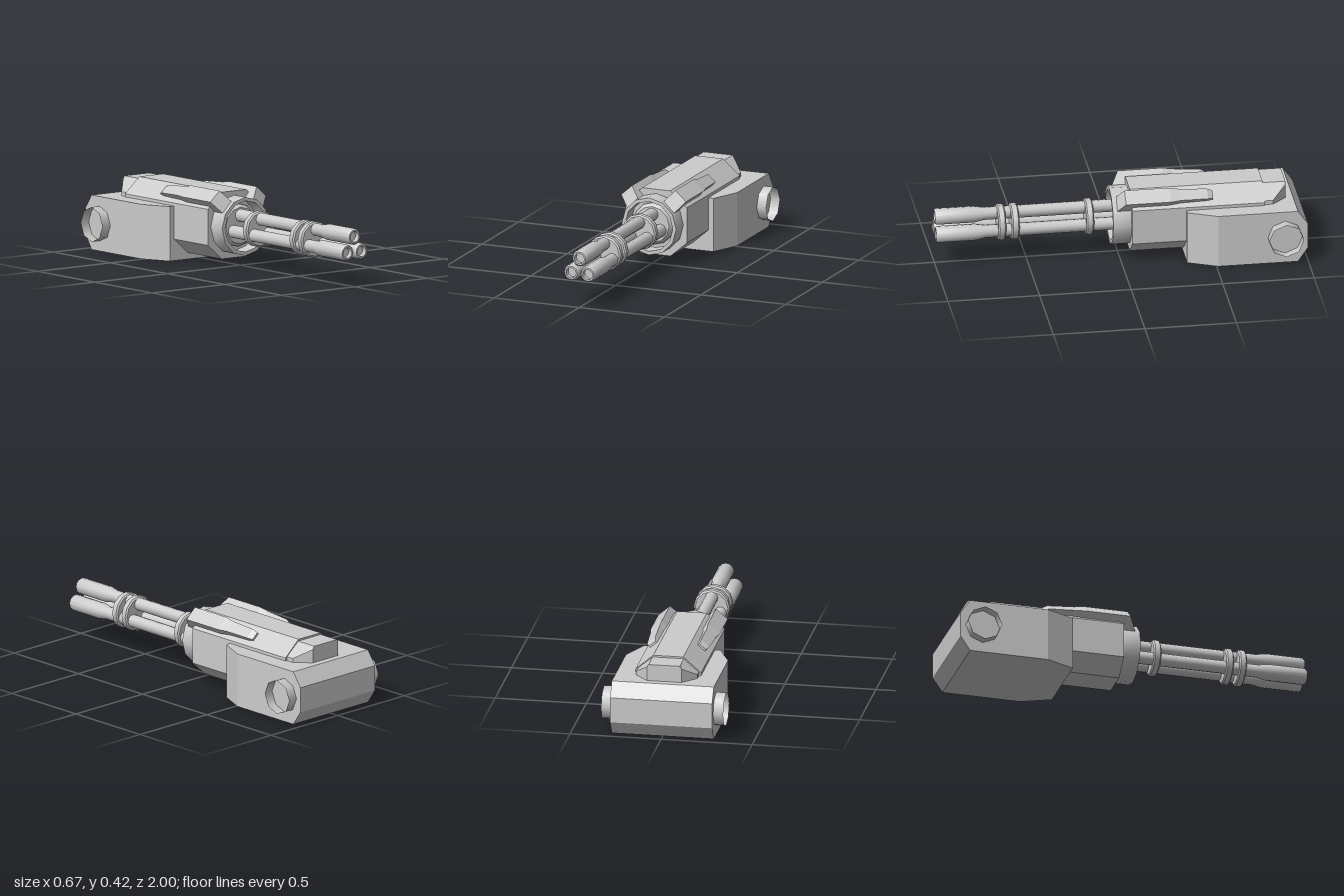
import * as THREE from 'three';
import { toCreasedNormals } from 'three/addons/utils/BufferGeometryUtils.js';

const AXIS_Y = 0.217; // height of the barrel axis
const grey = new THREE.MeshStandardMaterial({ color: 0xcccccc });
const greyFlat = new THREE.MeshStandardMaterial({ color: 0xcccccc, flatShading: true });
const greyOpen = new THREE.MeshStandardMaterial({ color: 0xcccccc, side: THREE.DoubleSide });

// Solid through cross-sections { z, pts }, front to back, pts counter-clockwise seen from the front
function loft(sections) {
  const pos = [];
  const put = (s, j) => pos.push(...s.pts[j % s.pts.length], s.z);
  const n = sections[0].pts.length;
  for (let i = 0; i < sections.length - 1; i++) {
    const f = sections[i], b = sections[i + 1];
    for (let j = 0; j < n; j++) {
      put(f, j); put(b, j); put(b, j + 1);
      put(f, j); put(b, j + 1); put(f, j + 1);
    }
  }
  const first = sections[0], last = sections[sections.length - 1];
  for (let j = 1; j < n - 1; j++) {
    put(first, 0); put(first, j); put(first, j + 1);
    put(last, 0); put(last, j + 1); put(last, j);
  }
  const geo = new THREE.BufferGeometry();
  geo.setAttribute('position', new THREE.Float32BufferAttribute(pos, 3));
  geo.computeVertexNormals();
  return geo;
}

// Turned part along z from [radius, z] points
function turned(profile, sides) {
  const geo = new THREE.LatheGeometry(profile.map(([r, z]) => new THREE.Vector2(r, z)), sides);
  geo.rotateX(Math.PI / 2);
  return toCreasedNormals(geo, 0.65);
}

const rect = (w, y0, y1) => [[-w, y0], [w, y0], [w, y1], [-w, y1]];

// Adds the left half of a symmetric outline, given its right half from bottom to top
const symmetric = (half) => [...half, ...half.map(([x, y]) => [-x, y]).reverse()];

export function createModel() {
  const model = new THREE.Group();
  model.name = 'rotaryGun';
  const add = (name, geo, mat, x = 0, y = 0, z = 0) => {
    const mesh = new THREE.Mesh(geo, mat);
    mesh.name = name;
    mesh.position.set(x, y, z);
    model.add(mesh);
    return mesh;
  };

  // Rear mount block, chamfered at the back and tapered at the front
  add('mountBlock', loft([
    { z: -0.35, pts: rect(0.21, 0, 0.298) },
    { z: -0.51, pts: rect(0.28, 0, 0.298) },
    { z: -0.945, pts: rect(0.28, 0, 0.298) },
    { z: -1, pts: rect(0.28, 0.08, 0.22) },
  ]), greyFlat);

  // Octagonal gun housing
  const housing = symmetric([[0.085, 0.035], [0.18, 0.118], [0.18, 0.315], [0.082, 0.4]]);
  add('housing', loft([{ z: -0.055, pts: housing }, { z: -0.78, pts: housing }]), greyFlat);

  // Tail cover behind the housing
  const cover = symmetric([[0.168, 0.28], [0.168, 0.32], [0.085, 0.39]]);
  add('tailCover', loft([
    { z: -0.77, pts: cover },
    { z: -0.825, pts: cover },
    { z: -0.905, pts: symmetric([[0.095, 0.28], [0.095, 0.375], [0.085, 0.39]]) },
  ]), greyFlat);

  for (const side of [-1, 1]) {
    // Open pivot tube
    const tube = new THREE.CylinderGeometry(0.095, 0.095, 0.07, 8, 1, true);
    tube.rotateZ(Math.PI / 2);
    add(side > 0 ? 'leftPivot' : 'rightPivot', tube, greyOpen, side * 0.3, 0.15, -0.875);

    // Fin lying on the upper chamfer: w is the half width along it, lo and hi the height above it
    const finSection = (z, w, lo, hi) => {
      const pts = [[-w, lo], [-w, hi], [w, hi], [w, lo]].map(([t, h]) =>
        [side * (0.1325 + 0.75 * t + 0.66 * h), 0.3575 - 0.66 * t + 0.75 * h]);
      return { z, pts: side > 0 ? pts.reverse() : pts };
    };
    add(side > 0 ? 'leftFin' : 'rightFin', loft([
      finSection(0.02, 0.0425, -0.045, -0.04),
      finSection(-0.02, 0.0425, -0.045, 0.04),
      finSection(-0.265, 0.0425, -0.045, 0.04),
      finSection(-0.32, 0.034, -0.03, 0.034),
      finSection(-0.47, 0.03, -0.02, 0.024),
      finSection(-0.5, 0.024, -0.02, 0.01),
    ]), greyFlat);
  }

  // Hollow collar and the hub inside it
  add('collar', turned([
    [0.16, -0.06], [0.16, 0.045], [0.14, 0.045], [0.14, -0.04], [0, -0.04],
  ], 12), grey, 0, AXIS_Y);
  add('hub', turned([[0.117, -0.05], [0.117, -0.02], [0.1, 0], [0, 0]], 12), grey, 0, AXIS_Y);

  // Clamp discs around the barrels
  for (const z of [0.16, 0.567, 0.64]) {
    add('barrelClamp', turned([
      [0, -0.021], [0.09, -0.021], [0.099, -0.014], [0.099, 0.014], [0.09, 0.021], [0, 0.021],
    ], 12), grey, 0, AXIS_Y, z);
  }

  // Three barrels with thicker, recessed muzzles
  const barrel = turned([
    [0.035, -0.04], [0.035, 0.73], [0.045, 0.785], [0.045, 0.99], [0.038, 1],
    [0.029, 1], [0.029, 0.97], [0, 0.97],
  ], 12);
  for (let i = 0; i < 3; i++) {
    const a = Math.PI / 2 + (i * Math.PI * 2) / 3;
    add('barrel', barrel, grey, 0.056 * Math.cos(a), AXIS_Y + 0.056 * Math.sin(a));
  }
  return model;
}
